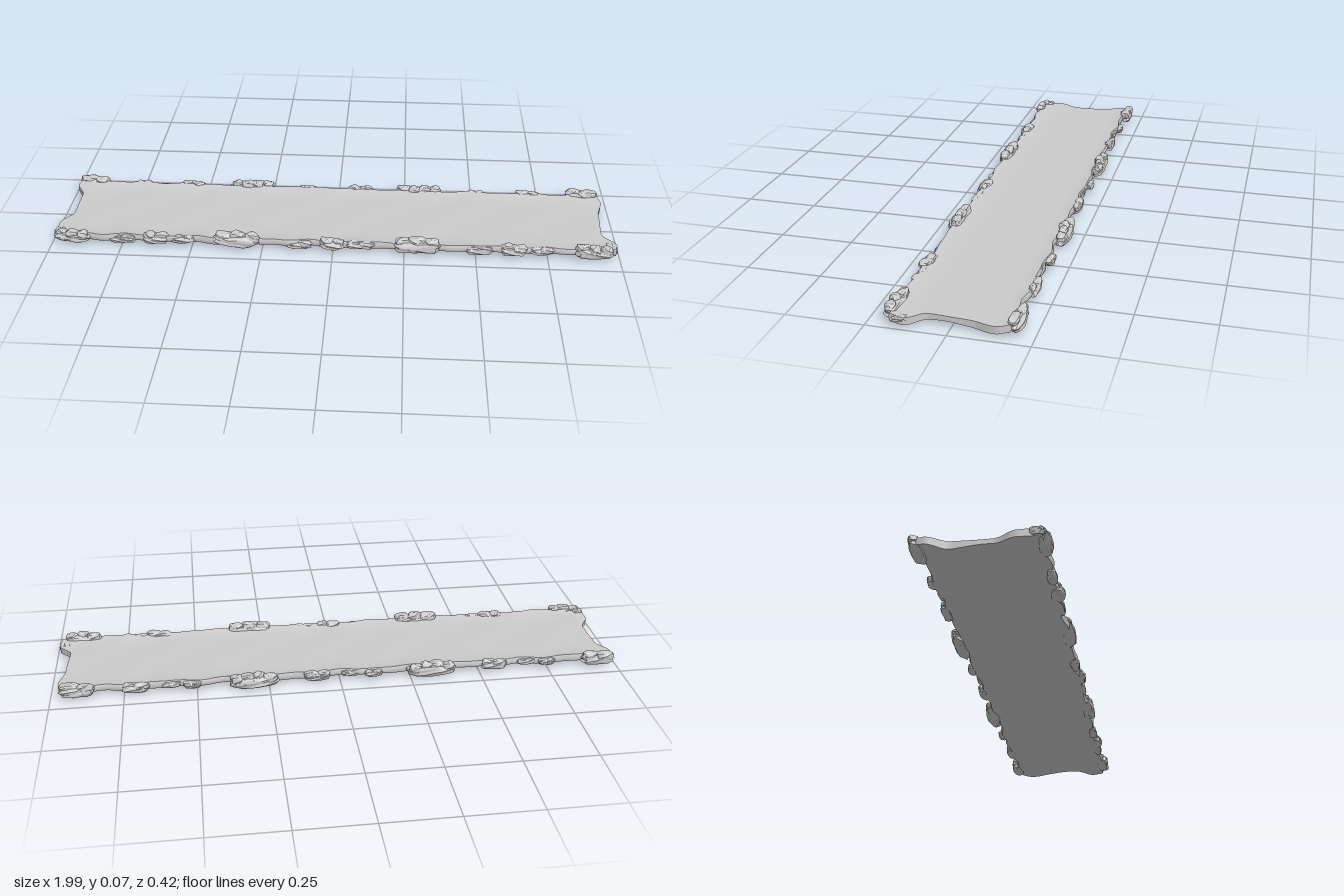
import * as THREE from 'three';
import { mergeGeometries } from 'three/addons/utils/BufferGeometryUtils.js';

const smoothMat = new THREE.MeshStandardMaterial({ color: 0xcccccc });
const rockMat = new THREE.MeshStandardMaterial({ color: 0xcccccc, flatShading: true });

function seeded(seed) {
  let s = seed;
  return () => (s = (s * 16807) % 2147483647) / 2147483647;
}

// smooth curve through [position, value] pairs
function profile(pairs) {
  return t => {
    let i = 0;
    while (i < pairs.length - 2 && t > pairs[i + 1][0]) i++;
    const [a, va] = pairs[i], [b, vb] = pairs[i + 1];
    return va + (vb - va) * THREE.MathUtils.smoothstep(t, a, b);
  };
}

// end outlines: x as a function of v, from back (-1) to front (1)
const leftEnd = profile([[-1, -0.98], [-0.85, -0.99], [-0.5, -0.957], [0.2, -0.955], [0.6, -0.99], [1, -0.985]]);
const rightEnd = profile([[-1, 0.965], [-0.8, 0.975], [-0.3, 0.955], [0.4, 0.948], [0.75, 0.99], [1, 0.985]]);

// long slab: wavy sides, scooped ends, thicker towards the sides
function pathSlab() {
  const geo = new THREE.BoxGeometry(2, 2, 2, 160, 2, 28);
  const p = geo.attributes.position;
  for (let i = 0; i < p.count; i++) {
    const u = p.getX(i), s = p.getY(i), v = p.getZ(i);
    const t = (u + 1) / 2;
    const x = THREE.MathUtils.lerp(leftEnd(v), rightEnd(v), t);
    const wave = 0.004 * Math.sin(x * 30 + v) + 0.003 * Math.sin(x * 47 + v * 2);
    const z = v * 0.181 + v * Math.abs(v) * wave;
    const rim = Math.pow(Math.abs(v), 6);
    const seam = Math.exp(-(((Math.abs(x + 0.01) - 0.31) / 0.015) ** 2));
    const top = 0.039 + 0.007 * rim + 0.0006 * Math.sin(x * 21 + v * 5);
    const bottom = 0.022 - 0.008 * Math.sin(Math.min(Math.abs(v) / 0.65, 1) * Math.PI / 2) ** 2
      + 0.007 * rim + 0.002 * Math.sin(x * 13 + v * 4) - 0.003 * seam;
    const round = 1 + (s === 0 && Math.abs(v) === 1 ? 0.03 : 0);
    p.setXYZ(i, x, THREE.MathUtils.lerp(bottom, top, (s + 1) / 2), z * round);
  }
  geo.computeVertexNormals();
  return geo;
}

// one lumpy stone, its surface pushed in and out by a fixed wave
function stone(x, y, z, rx, ry, rz, seed) {
  const geo = new THREE.IcosahedronGeometry(1, 2);
  const p = geo.attributes.position, d = new THREE.Vector3();
  for (let i = 0; i < p.count; i++) {
    d.fromBufferAttribute(p, i);
    const k = 0.93 + 0.1 * Math.sin(d.x * 5 + seed) * Math.cos(d.z * 4 + seed * 2)
      + 0.07 * Math.sin(d.y * 7 + d.x * 4 + seed * 3);
    // squared-off sides
    const q = 1 / Math.pow(d.x ** 4 + d.y ** 4 + d.z ** 4, 0.16);
    d.multiplyScalar(k * q);
    p.setXYZ(i, x + d.x * rx, y + d.y * ry, z + d.z * rz);
  }
  geo.computeVertexNormals();
  return geo;
}

// a cluster: broad base stone with smaller stones along the top
function cluster(x, z, halfWidth, bottom, top, depth, seed) {
  const rand = seeded(seed * 977 + 31);
  const h = top - bottom;
  const parts = [stone(x, bottom + h * 0.42, z, halfWidth, h * 0.37, depth, seed)];
  const n = Math.max(2, Math.round(halfWidth / 0.025));
  for (let i = 0; i < n; i++) {
    const f = ((i + 0.5) / n) * 2 - 1;
    const r = halfWidth / n;
    const fall = 1 - 0.3 * f * f;
    parts.push(stone(x + f * halfWidth * 0.85, bottom + h * (0.5 + 0.16 * fall),
      z + (rand() - 0.5) * depth * 0.5, r * (0.9 + rand() * 0.4),
      h * 0.32 * fall, depth * (0.6 + rand() * 0.25), seed + i * 1.7));
  }
  return mergeGeometries(parts);
}

// [x, z, half width, bottom, top, depth]
const backStones = [
  [-0.93, -0.19, 0.06, 0.006, 0.062, 0.024],
  [0.905, -0.19, 0.062, 0.01, 0.068, 0.024],
];
const frontStones = [
  [-0.925, 0.181, 0.065, 0.008, 0.062, 0.023],
  [0.91, 0.182, 0.07, 0.01, 0.068, 0.024],
  [-0.975, 0.165, 0.02, 0.015, 0.05, 0.025],
  [0.975, 0.15, 0.02, 0.018, 0.045, 0.03],
];
// stones repeated on each of the three sections
for (const o of [-0.63, 0, 0.63]) {
  backStones.push([o + 0.08, -0.187, 0.047, 0.012, 0.055, 0.018],
    [o - 0.115, -0.192, 0.032, 0.018, 0.046, 0.015],
    [o - 0.04, -0.181, 0.035, 0.018, 0.044, 0.008]);
  frontStones.push([o, 0.179, 0.045, 0.012, 0.056, 0.025],
    [o + 0.095, 0.178, 0.05, 0.016, 0.049, 0.015],
    [o - 0.12, 0.178, 0.05, 0.008, 0.046, 0.016]);
}
// large clusters over the joints
for (const x of [-0.325, 0.305]) {
  backStones.push([x, -0.19, 0.09, 0.002, 0.064, 0.024]);
  frontStones.push([x - 0.01, 0.181, 0.085, 0.008, 0.073, 0.025]);
}

export function createModel() {
  const model = new THREE.Group();
  const slab = new THREE.Mesh(pathSlab(), smoothMat);
  slab.name = 'pathSlab';
  model.add(slab);
  for (const [name, list] of [['backEdgeStones', backStones], ['frontEdgeStones', frontStones]]) {
    const row = new THREE.Group();
    row.name = name;
    list.forEach((s, i) => {
      const mesh = new THREE.Mesh(cluster(...s, i + 1 + name.length), rockMat);
      mesh.name = 'stoneCluster';
      row.add(mesh);
    });
    model.add(row);
  }
  return model;
}
